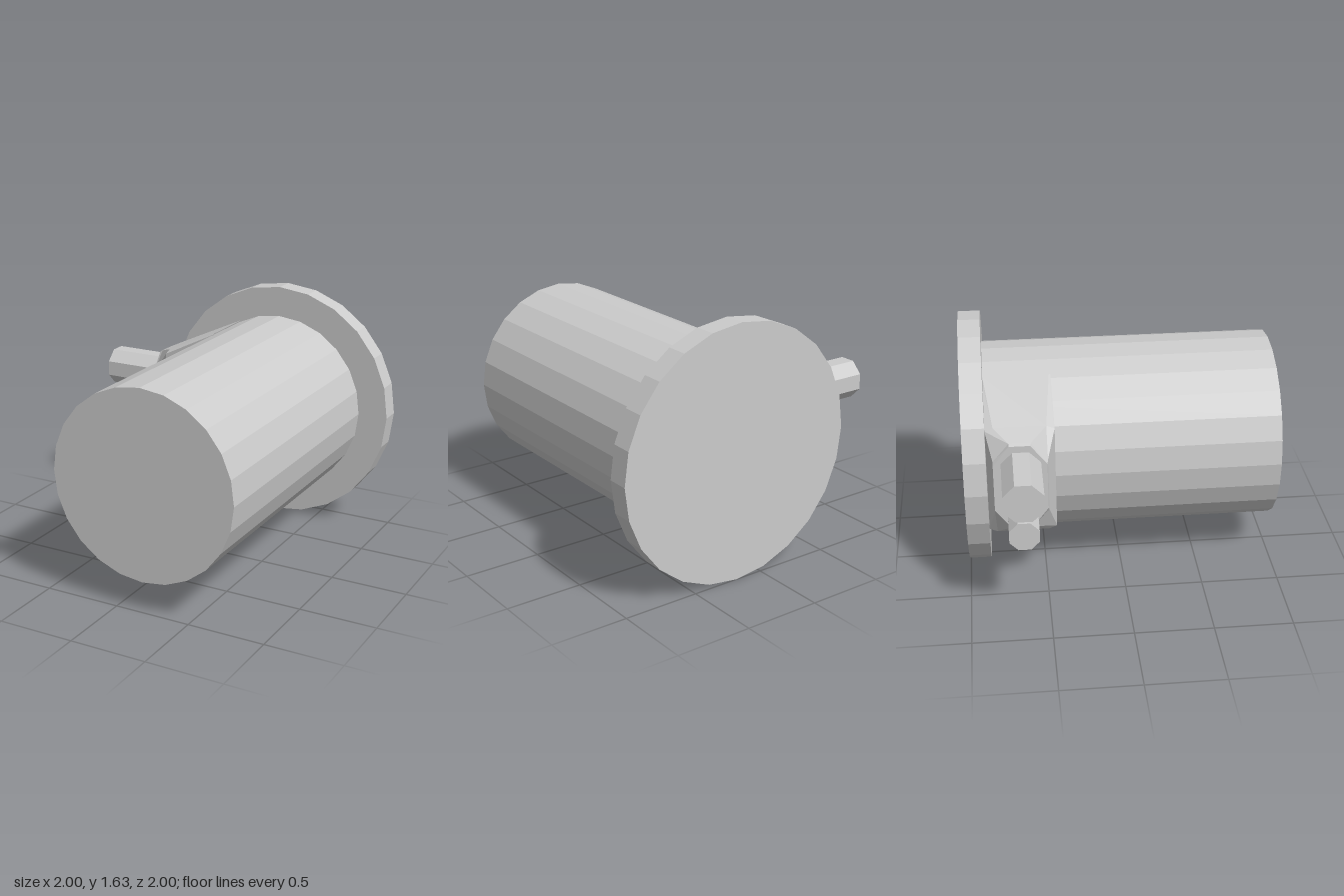
import * as THREE from 'three';

const CX = 0.185, CY = 0.82;

export function createModel() {
  const model = new THREE.Group();
  const mat = new THREE.MeshStandardMaterial({ color: 0xcccccc, flatShading: true });

  const add = (name, geometry) => {
    const mesh = new THREE.Mesh(geometry, mat);
    mesh.name = name;
    model.add(mesh);
    return mesh;
  };

  // Disc or barrel lying along z
  const alongZ = (name, r, z0, z1, sides) => {
    const mesh = add(name, new THREE.CylinderGeometry(r, r, z1 - z0, sides).rotateX(Math.PI / 2));
    mesh.position.set(CX, CY, (z0 + z1) / 2);
  };
  alongZ('barrel', 0.613, -0.9, 1, 24);
  alongZ('endFlange', 0.816, -1, -0.86, 24);

  // Side boss: chamfered rectangles lofted along x, wide inside the barrel
  const section = ({ x, y0, y1, z0, z1, cy, cz }) => [
    [x, y0 + cy, z1], [x, y1 - cy, z1], [x, y1, z1 - cz], [x, y1, z0 + cz],
    [x, y1 - cy, z0], [x, y0 + cy, z0], [x, y0, z0 + cz], [x, y0, z1 - cz],
  ];
  const rings = [
    { x: -0.605, y0: 0.57, y1: 1.14, z0: -0.82, z1: -0.49, cy: 0.13, cz: 0.1 },
    { x: -0.585, y0: 0.56, y1: 1.15, z0: -0.82, z1: -0.485, cy: 0.12, cz: 0.1 },
    { x: -0.47, y0: 0.465, y1: 1.2, z0: -0.86, z1: -0.435, cy: 0.02, cz: 0.05 },
    { x: -0.1, y0: 0.275, y1: 1.37, z0: -0.87, z1: -0.435, cy: 0.005, cz: 0.01 },
  ].map(section);
  const pos = [];
  const tri = (...pts) => pts.forEach((p) => pos.push(...p));
  for (let r = 0; r < rings.length - 1; r++) {
    for (let i = 0; i < 8; i++) {
      const j = (i + 1) % 8, a = rings[r], b = rings[r + 1];
      tri(a[i], b[i], b[j]);
      tri(a[i], b[j], a[j]);
    }
  }
  for (let i = 1; i < 7; i++) tri(rings[0][0], rings[0][i], rings[0][i + 1]);
  const boss = new THREE.BufferGeometry();
  boss.setAttribute('position', new THREE.Float32BufferAttribute(pos, 3));
  boss.computeVertexNormals();
  add('sideBoss', boss);

  // Two pipe stubs leaving the boss sideways
  const stub = (name, xEnd, y, r, sides) => {
    const len = -0.55 - xEnd;
    const geo = new THREE.CylinderGeometry(r, r, len, sides, 1, false, Math.PI / sides).rotateZ(Math.PI / 2);
    add(name, geo).position.set(xEnd + len / 2, y, -0.65);
  };
  stub('largePipeStub', -1, 0.975, 0.132, 8);
  stub('smallPipeStub', -0.85, 0.655, 0.1, 8);

  return model;
}
